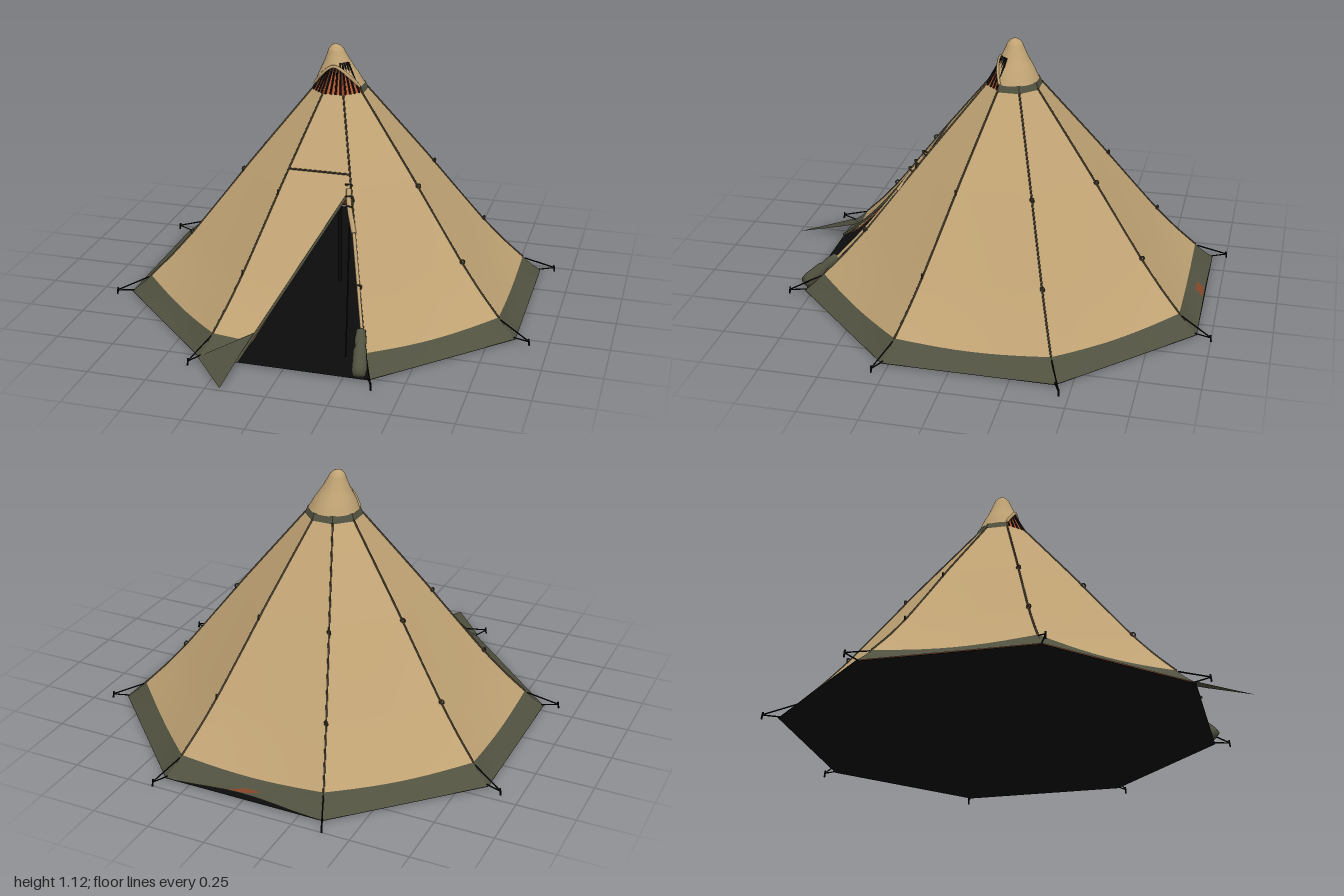
import * as THREE from 'three';

const Z0 = -0.08, TAN = Math.tan(Math.PI / 8), COS = Math.cos(Math.PI / 8);
const mat = (name, color) => new THREE.MeshStandardMaterial({ name, color, side: THREE.DoubleSide });

// Wall levels: [distance from axis to face, height, sag at mid face]
const SKIRT = [[0.86, 0.01, 0], [0.82, 0.043, 0.01], [0.78, 0.083, 0.02]];
const WALL = [[0.78, 0.083, 0.02], [0.69, 0.178, 0.012], [0.6, 0.285, 0.006], [0.385, 0.572, 0], [0.363, 0.602, 0], [0.11, 0.928, 0]];
const VENT = [[0.11, 0.926, 0], [0.045, 1.05, 0]];
const COLLAR = [[0.115, 0.922, 0], [0.102, 0.953, 0]];

// Left edge of the doorway, as a fraction across the front face
const doorX = y => -0.16 + (y - 0.07) * 0.575;
const doorLimit = (a, y) => y > 0.6 ? 1 : Math.min(1, (doorX(y) / (a * TAN) + 1) / 2);

// Point on octagon face k, t = 0..1 across the face
function facePoint(k, a, y, t) {
  return new THREE.Vector3(a * TAN * (2 * t - 1), y, a)
    .applyAxisAngle(new THREE.Vector3(0, 1, 0), k * Math.PI / 4).add(new THREE.Vector3(0, 0, Z0));
}

// Grid surface from a function of (row, column)
function grid(rows, cols, fn, flip = false) {
  const pos = [], idx = [];
  for (let i = 0; i <= rows; i++) for (let j = 0; j <= cols; j++) pos.push(...fn(i, j / cols).toArray());
  for (let i = 0; i < rows; i++) for (let j = 0; j < cols; j++) {
    const a = i * (cols + 1) + j, b = a + 1, d = a + cols + 1, c = d + 1;
    idx.push(...(flip ? [a, c, b, a, d, c] : [a, b, c, a, c, d]));
  }
  const g = new THREE.BufferGeometry();
  g.setAttribute('position', new THREE.Float32BufferAttribute(pos, 3));
  g.setIndex(idx);
  g.computeVertexNormals();
  return g;
}

function panel(k, levels, { door = false, lift = 0, inset = 0, flip = false } = {}) {
  return grid(levels.length - 1, 10, (i, u) => {
    const [a, y, sag] = levels[i];
    const t = u * (door ? doorLimit(a, y) : 1);
    const bow = Math.sin(Math.PI * t);
    return facePoint(k, a - inset, y - sag * bow + (i === 0 ? lift * bow * bow : 0), t);
  }, flip);
}

export function createModel() {
  const tent = new THREE.Group();
  tent.name = 'tent';
  const canvas = mat('tan canvas', 0xbfa273);
  const olive = mat('olive trim', 0x50513f);
  const liner = mat('rust liner', 0x864528);
  const orange = mat('orange vent', 0xb85a32);
  const seamMat = mat('dark seam', 0x4b4333);
  const black = mat('black', 0x0c0c0c);
  const V = (x, y, z) => new THREE.Vector3(x, y, z);

  const add = (name, geo, m, parent = tent) => {
    const mesh = new THREE.Mesh(geo, m);
    mesh.name = name;
    parent.add(mesh);
    return mesh;
  };
  const tube = (name, pts, r, m, parent = tent, sides = 6) =>
    add(name, new THREE.TubeGeometry(new THREE.CatmullRomCurve3(pts), pts.length * 6, r, sides), m, parent);
  const rod = (name, a, b, r, m, parent = tent) =>
    add(name, new THREE.TubeGeometry(new THREE.LineCurve3(a, b), 1, r, 6), m, parent);

  // Walls, skirt and inner liner; face 0 holds the doorway
  for (let k = 0; k < 8; k++) {
    const door = k === 0;
    const lift = k === 4 ? 0.025 : 0;
    add('wallPanel', panel(k, WALL, { door }), canvas);
    add('skirtPanel', panel(k, SKIRT, { door, lift }), olive);
    add('innerLiner', panel(k, [...SKIRT, ...WALL.slice(1)], { door, lift, inset: 0.006, flip: true }), liner);
  }

  // Groundsheet
  const floor = add('groundsheet', new THREE.CircleGeometry(0.86 / COS, 8, Math.PI / 8), black);
  floor.rotation.x = -Math.PI / 2;
  floor.position.set(0, 0.008, Z0);

  // Corner seams, toggles, guy cords and pegs
  for (let k = 0; k < 8; k++) {
    const corner = (a, y) => facePoint(k, a, y, 1);
    const edge = new THREE.Group();
    edge.name = 'cornerRigging';
    tent.add(edge);
    tube('seam', WALL.map(([a, y]) => corner(a + 0.001, y)), 0.004, seamMat, edge);
    for (const [a, y] of [[0.39, 0.572], [0.606, 0.285]]) {
      const ring = add('toggle', new THREE.TorusGeometry(0.009, 0.0035, 6, 10), seamMat, edge);
      ring.position.copy(corner(a, y));
      ring.rotation.y = k * Math.PI / 4 - Math.PI / 8;
    }
    const end = corner(0.922, 0.018);
    rod('upperCord', corner(0.79, 0.075), end, 0.003, black, edge);
    rod('lowerCord', corner(0.85, 0.014), end, 0.003, black, edge);
    rod('peg', corner(0.918, 0.03), corner(0.922, 0), 0.004, black, edge);
  }

  // Crown: orange vent with dark slats in front, collar behind
  for (const k of [-1, 0, 1]) {
    add('crownVent', panel(k, VENT), orange);
    for (let i = 0; i < 4; i++) {
      const t = (i + 0.5) / 4;
      rod('ventSlat', facePoint(k, 0.111, 0.927, t), facePoint(k, 0.046, 1.05, t), 0.0045, black);
    }
  }
  for (let k = 2; k <= 6; k++) add('crownCollar', panel(k, COLLAR), olive);

  // Hood: rounded cap whose front edge lifts into an arch
  const profile = [[0.95, 0.108], [0.99, 0.089], [1.04, 0.06], [1.08, 0.041], [1.1, 0.033], [1.115, 0.019], [1.123, 0]];
  const hoodRadius = y => {
    let i = 1;
    while (i < profile.length - 1 && y > profile[i][0]) i++;
    const [y0, r0] = profile[i - 1], [y1, r1] = profile[i];
    return THREE.MathUtils.lerp(r0, r1, THREE.MathUtils.clamp((y - y0) / (y1 - y0), 0, 1));
  };
  const hoodBase = th => 0.95 + 0.087 * Math.pow(Math.max(0, Math.cos(th / 0.75)), 0.8) * (Math.abs(th) < 1.18 ? 1 : 0);
  const hoodPoint = (th, y) => {
    const r = hoodRadius(y);
    return V(r * Math.sin(th) - 0.018 * (y - 0.95) / 0.17, y, Z0 + r * Math.cos(th));
  };
  add('hood', grid(18, 48, (i, u) => {
    const th = (u * 2 - 1) * Math.PI, b = hoodBase(th);
    return hoodPoint(th, b + (1.123 - b) * (1 - (1 - i / 18) ** 1.6));
  }), canvas);
  const rim = [];
  for (let i = -8; i <= 8; i++) rim.push(hoodPoint(i * 0.147, hoodBase(i * 0.147)));
  tube('hoodRim', rim, 0.007, canvas);

  // Centre pole and hanging door cord
  rod('centrePole', V(0, 0.01, Z0), V(0, 1.04, Z0), 0.008, black);
  rod('doorCord', V(0.15, 0.55, 0.3), V(0.22, 0.012, 0.62), 0.003, black);
  rod('rearVent', V(-0.07, 0.062, -0.85), V(0.07, 0.062, -0.85), 0.005, black);

  // Front panel cross seam and doorway trim
  const front = (x, y, a) => V(x, y, Z0 + a + 0.003);
  rod('crossSeam', front(-0.13, 0.657, 0.32), front(0.132, 0.657, 0.32), 0.004, seamMat);
  tube('doorTrim', [...SKIRT.slice(0, 2), ...WALL.slice(0, 5)].map(([a, y]) => front(doorX(y), y, a)), 0.006, olive);

  // Door corner folded outward onto the ground
  const flap = new THREE.BufferGeometry();
  flap.setAttribute('position', new THREE.Float32BufferAttribute([
    -0.36, 0.012, 0.785, -0.19, 0.006, 0.995, -0.17, 0.06, 0.8,
    -0.36, 0.012, 0.785, -0.17, 0.06, 0.8, -0.15, 0.1, 0.685], 3));
  flap.computeVertexNormals();
  add('doorFlap', flap, olive);

  // Rolled door: thin tan roll along the seam, thick olive roll at the foot
  tube('upperDoorRoll', [V(0.14, 0.61, 0.285), V(0.15, 0.56, 0.32), V(0.19, 0.46, 0.39)], 0.011, canvas);
  tube('middleDoorRoll', [V(0.19, 0.46, 0.392), V(0.245, 0.29, 0.525), V(0.295, 0.15, 0.65)], 0.007, canvas);
  const roll = add('lowerDoorRoll', new THREE.LatheGeometry(
    [[0, 0], [0.026, 0.004], [0.031, 0.03], [0.028, 0.11], [0.021, 0.125], [0.025, 0.15], [0.019, 0.195], [0, 0.205]]
      .map(p => new THREE.Vector2(...p)), 14), olive);
  roll.position.set(0.32, 0.025, 0.79);
  roll.quaternion.setFromUnitVectors(V(0, 1, 0), V(-0.03, 0.135, -0.145).normalize());

  // Tie loops near the top of the doorway
  for (const [x, y, z] of [[0.138, 0.625, 0.278], [0.15, 0.585, 0.31], [0.155, 0.55, 0.335], [0.245, 0.29, 0.525]]) {
    const loop = add('doorTie', new THREE.TorusGeometry(0.014, 0.0035, 6, 12), seamMat);
    loop.position.set(x, y, z);
    loop.rotation.x = 1.0;
  }
  return tent;
}
